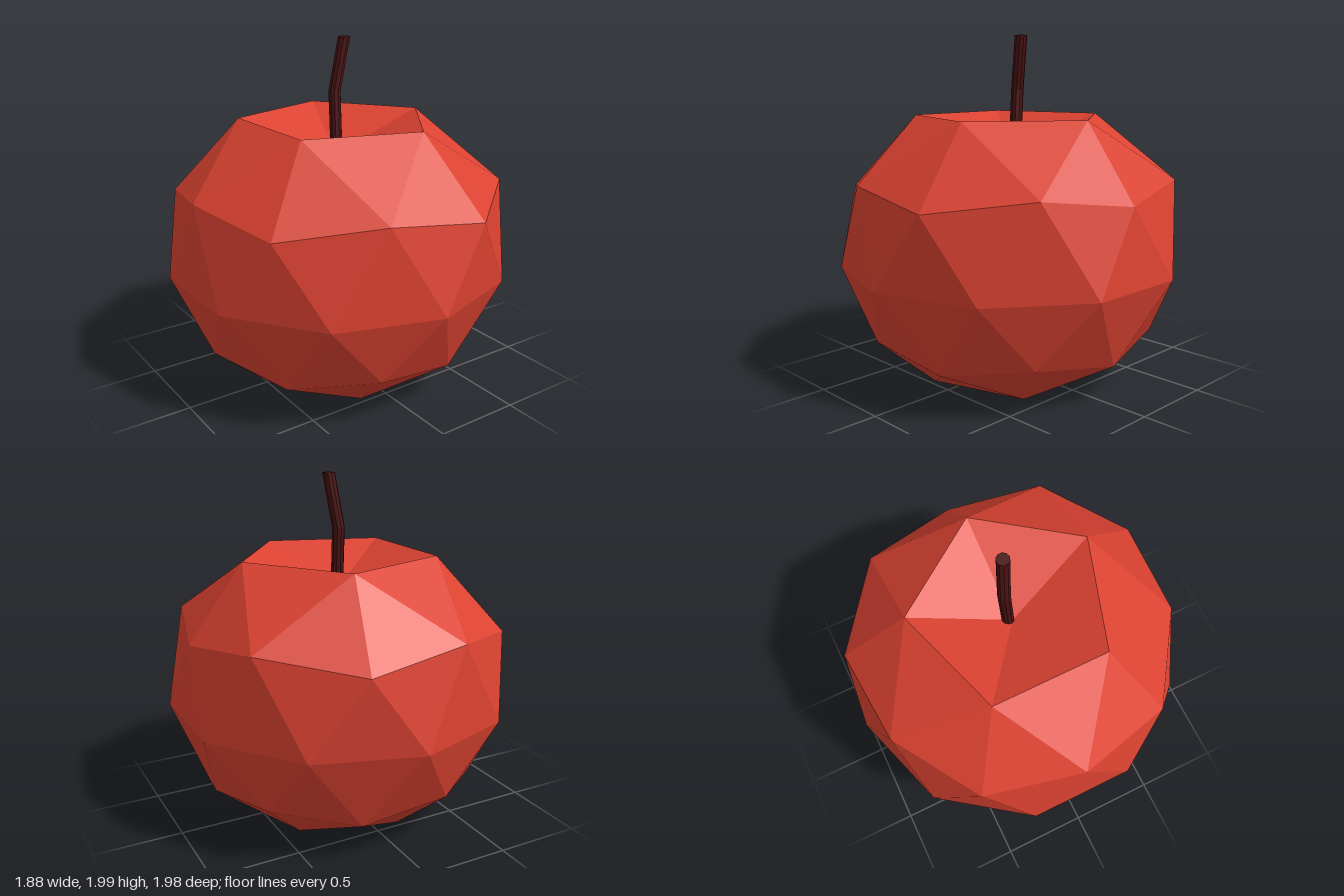
import * as THREE from 'three';

// Ring of n points around the y axis; radii and heights repeat, spin is in degrees
function ring(n, radii, heights, spin, cx = 0) {
  return Array.from({ length: n }, (_, i) => {
    const a = THREE.MathUtils.degToRad(spin + (360 / n) * i);
    const r = radii[i % radii.length];
    return [cx + r * Math.cos(a), heights[i % heights.length], r * Math.sin(a)];
  });
}

// Low-poly fruit body: an icosphere pattern with both poles pushed in
function makeBody() {
  const topDent = [0, 1.32, 0];
  const bottomDent = [0, 0.135, 0];
  const top = ring(5, [0.57], [1.53], 0, 0.01);
  const shoulder = ring(10, [0.9, 0.945, 0.97, 0.92, 0.95, 0.91, 0.95, 0.92, 0.97, 0.945], [1.105, 1.18], 0);
  const middle = ring(10, [0.99], [0.67], 18);
  const lower = ring(10, [0.79, 0.83], [0.22, 0.29], 0);
  const base = ring(5, [0.49], [0], 36);

  const positions = [];
  const tri = (a, b, c) => positions.push(...a, ...b, ...c);
  const at = (list, i) => list[(i + list.length) % list.length];

  for (let k = 0; k < 5; k++) {
    const t = top[k], tNext = at(top, k + 1);
    const b = base[k], bNext = at(base, k + 1);
    // Dent and shoulder at the top
    tri(topDent, tNext, t);
    tri(t, tNext, at(shoulder, 2 * k + 1));
    tri(t, at(shoulder, 2 * k), at(shoulder, 2 * k - 1));
    tri(t, at(shoulder, 2 * k + 1), at(shoulder, 2 * k));
    // Dent and curve at the bottom
    tri(bottomDent, b, bNext);
    tri(at(lower, 2 * k), at(lower, 2 * k + 1), b);
    tri(at(lower, 2 * k + 1), at(lower, 2 * k + 2), b);
    tri(at(lower, 2 * k + 2), bNext, b);
  }
  // Bands above and below the widest ring
  for (let j = 0; j < 10; j++) {
    const m = middle[j], mPrev = at(middle, j - 1);
    tri(shoulder[j], at(shoulder, j + 1), m);
    tri(shoulder[j], m, mPrev);
    tri(m, at(lower, j + 1), lower[j]);
    tri(mPrev, m, lower[j]);
  }

  const geometry = new THREE.BufferGeometry();
  geometry.setAttribute('position', new THREE.Float32BufferAttribute(positions, 3));
  geometry.computeVertexNormals();
  const mesh = new THREE.Mesh(geometry, new THREE.MeshStandardMaterial({ color: 0xdb4231, flatShading: true }));
  mesh.name = 'fruitBody';
  return mesh;
}

// Stem: a cylinder whose three rings follow a bent line
function makeStem() {
  const path = [[0.015, 1.29, -0.02], [0.015, 1.68, -0.042], [0.065, 1.985, -0.02]];
  const geometry = new THREE.CylinderGeometry(0.036, 0.036, 2, 10, 2);
  const p = geometry.attributes.position;
  for (let i = 0; i < p.count; i++) {
    const [x, y, z] = path[Math.round(p.getY(i)) + 1];
    p.setXYZ(i, p.getX(i) + x, y, p.getZ(i) + z);
  }
  geometry.computeVertexNormals();
  const mesh = new THREE.Mesh(geometry, new THREE.MeshStandardMaterial({ color: 0x4a1213, flatShading: true }));
  mesh.name = 'stem';
  return mesh;
}

export function createModel() {
  const group = new THREE.Group();
  group.name = 'apple';
  group.add(makeBody(), makeStem());
  return group;
}
